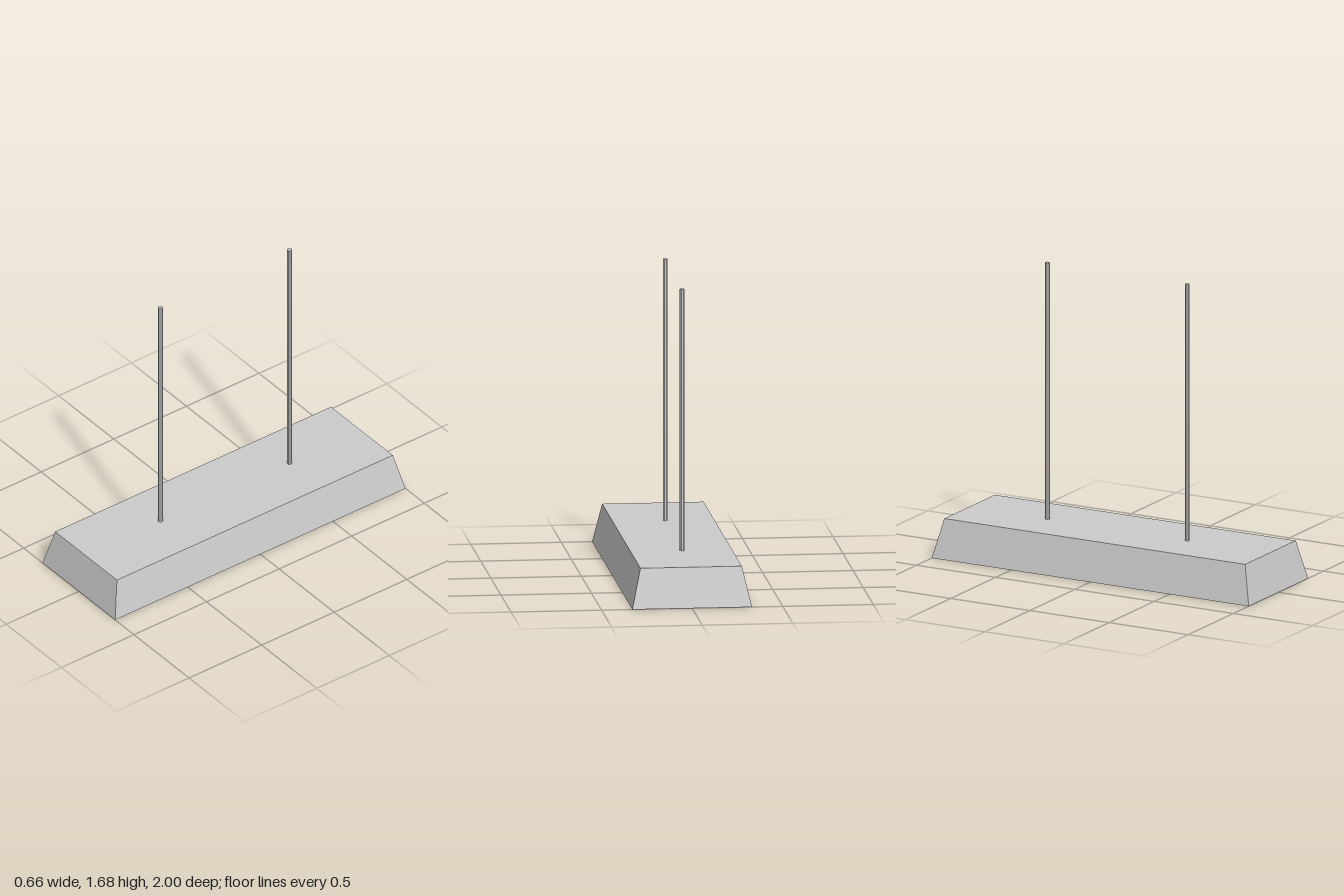
import * as THREE from 'three';

const material = new THREE.MeshStandardMaterial({ color: 0xcccccc });
const flatMaterial = new THREE.MeshStandardMaterial({ color: 0xcccccc, flatShading: true });

// Joins rectangular rings [halfX, halfZ, y] into a flat-faced shell
function rectLoft(rings) {
  const corners = [[1, 1], [1, -1], [-1, -1], [-1, 1]];
  const point = ([hx, hz, y], k) => [corners[k % 4][0] * hx, y, corners[k % 4][1] * hz];
  const positions = [];
  for (let i = 0; i < rings.length - 1; i++) {
    const [upper, lower] = [rings[i], rings[i + 1]];
    for (let k = 0; k < 4; k++) {
      const a = point(upper, k), b = point(upper, k + 1);
      const c = point(lower, k), d = point(lower, k + 1);
      if (lower[0] > 0) positions.push(...a, ...c, ...d);
      if (upper[0] > 0) positions.push(...a, ...d, ...b);
    }
  }
  const geometry = new THREE.BufferGeometry();
  geometry.setAttribute('position', new THREE.Float32BufferAttribute(positions, 3));
  geometry.computeVertexNormals();
  return geometry;
}

export function createModel() {
  const group = new THREE.Group();
  const add = (name, geometry, mat, x = 0, y = 0, z = 0) => {
    const mesh = new THREE.Mesh(geometry, mat);
    mesh.name = name;
    mesh.position.set(x, y, z);
    group.add(mesh);
    return mesh;
  };

  // Tapered housing: top, sloping sides, bottom rim, recess walls and recess ceiling
  add('housing', rectLoft([
    [0, 0, 0.22], [0.28, 0.95, 0.22], [0.33, 1, 0],
    [0.28, 0.9, 0], [0.28, 0.9, 0.17], [0, 0, 0.17],
  ]), flatMaterial);

  // Pair of lamp tubes lying in the recess
  const tube = new THREE.CylinderGeometry(0.065, 0.065, 1.79, 32).rotateX(Math.PI / 2);
  for (const side of [1, -1]) {
    add(side > 0 ? 'leftLampTube' : 'rightLampTube', tube, material, side * 0.14, 0.08, 0);
  }

  // Two thin hanging rods
  const rod = new THREE.CylinderGeometry(0.0135, 0.0135, 1.47, 8).rotateY(Math.PI / 8);
  add('frontRod', rod, flatMaterial, -0.01, 0.945, 0.43);
  add('backRod', rod, flatMaterial, -0.005, 0.945, -0.455);

  return group;
}
